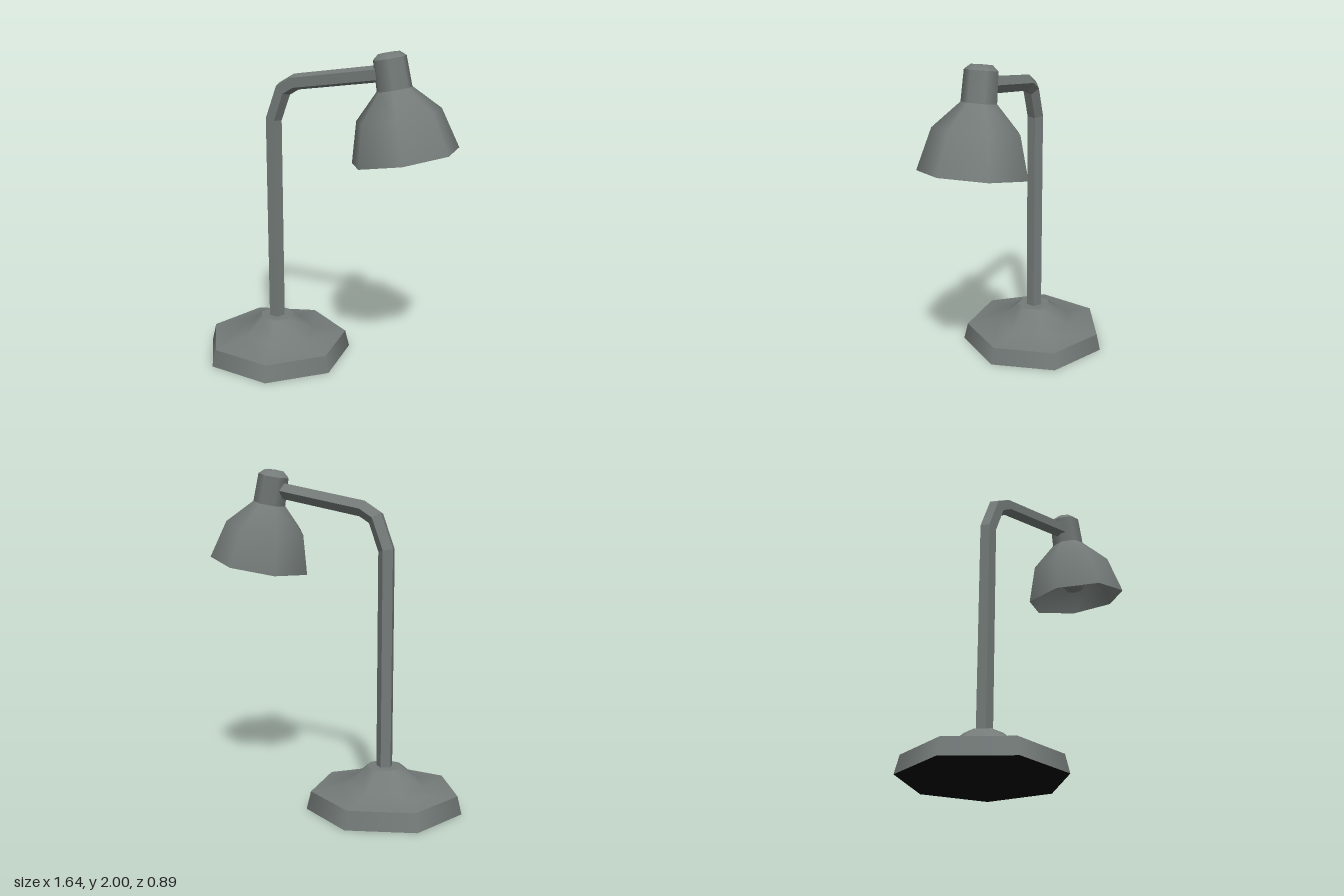
import * as THREE from 'three';

const metal = new THREE.MeshStandardMaterial({ color: 0x747b79, side: THREE.DoubleSide });
metal.name = 'grey metal';
const felt = new THREE.MeshStandardMaterial({ color: 0x050505 });
felt.name = 'black felt';

const SIDES = 7;

// Smooth seven-sided turned part, one corner pointing to the back
function turned(name, profile) {
  const points = profile.map(([r, y]) => new THREE.Vector2(r, y));
  const mesh = new THREE.Mesh(new THREE.LatheGeometry(points, SIDES, Math.PI), metal);
  mesh.name = name;
  return mesh;
}

// Flat-sided bar swept along a path in the xy plane, with mitred bends
function bentBar(path, radius, sides) {
  const pts = path.map(([x, y]) => new THREE.Vector2(x, y));
  const dirs = pts.slice(1).map((p, i) => p.clone().sub(pts[i]).normalize());
  const pos = [];
  const index = [];
  pts.forEach((p, i) => {
    const before = dirs[Math.max(i - 1, 0)];
    const after = dirs[Math.min(i, dirs.length - 1)];
    const t = before.clone().add(after).normalize();
    const miter = 1 / t.dot(after);
    for (let j = 0; j < sides; j++) {
      const a = Math.PI + (j / sides) * Math.PI * 2;
      const s = Math.sin(a) * radius * miter;
      pos.push(p.x + t.y * s, p.y - t.x * s, Math.cos(a) * radius);
      if (i < pts.length - 1) {
        const k = (j + 1) % sides;
        const lo = i * sides;
        const hi = lo + sides;
        index.push(lo + j, lo + k, hi + j, lo + k, hi + k, hi + j);
      }
    }
  });
  // End cap
  const end = (pts.length - 1) * sides;
  for (let j = 1; j < sides - 1; j++) index.push(end, end + j, end + j + 1);
  const geo = new THREE.BufferGeometry();
  geo.setAttribute('position', new THREE.Float32BufferAttribute(pos, 3));
  geo.setIndex(index);
  const flat = geo.toNonIndexed();
  flat.computeVertexNormals();
  return flat;
}

export function createModel() {
  const lamp = new THREE.Group();
  lamp.name = 'deskLamp';

  // Foot: slanted rim, domed cover and flat underside
  const base = new THREE.Group();
  base.name = 'base';
  base.position.set(-0.367, 0, 0.019);
  base.add(
    turned('baseRim', [[0.469, 0], [0.443, 0.107]]),
    turned('baseCover', [[0.443, 0.107], [0.241, 0.14], [0.108, 0.25]]),
    turned('baseTop', [[0.108, 0.25], [0, 0.25]])
  );
  const underside = new THREE.Mesh(
    new THREE.CircleGeometry(0.469, SIDES, -Math.PI / 2).rotateX(Math.PI / 2), felt);
  underside.name = 'baseUnderside';
  base.add(underside);
  lamp.add(base);

  // Five-sided post bending into the arm
  const arm = new THREE.Mesh(bentBar([
    [-0.367, 0.2], [-0.367, 1.535], [-0.295, 1.72], [-0.21, 1.77], [0.4, 1.876]
  ], 0.05, 5), metal);
  arm.name = 'arm';
  arm.position.z = 0.019;
  lamp.add(arm);

  // Tilted head, with its origin at the centre of the shade opening
  const head = new THREE.Group();
  head.name = 'head';
  head.position.set(0.52, 1.415, 0.011);
  head.rotation.z = 0.197;
  head.add(
    turned('shade', [[0.314, 0], [0.248, 0.235], [0.102, 0.383]]),
    turned('neck', [[0.102, 0.383], [0.096, 0.555]]),
    turned('neckCap', [[0.096, 0.555], [0.062, 0.584], [0, 0.586]]),
    turned('bulb', [[0, 0.05], [0.055, 0.065], [0.095, 0.13], [0.075, 0.2], [0.045, 0.27], [0.045, 0.4]])
  );
  lamp.add(head);

  return lamp;
}
